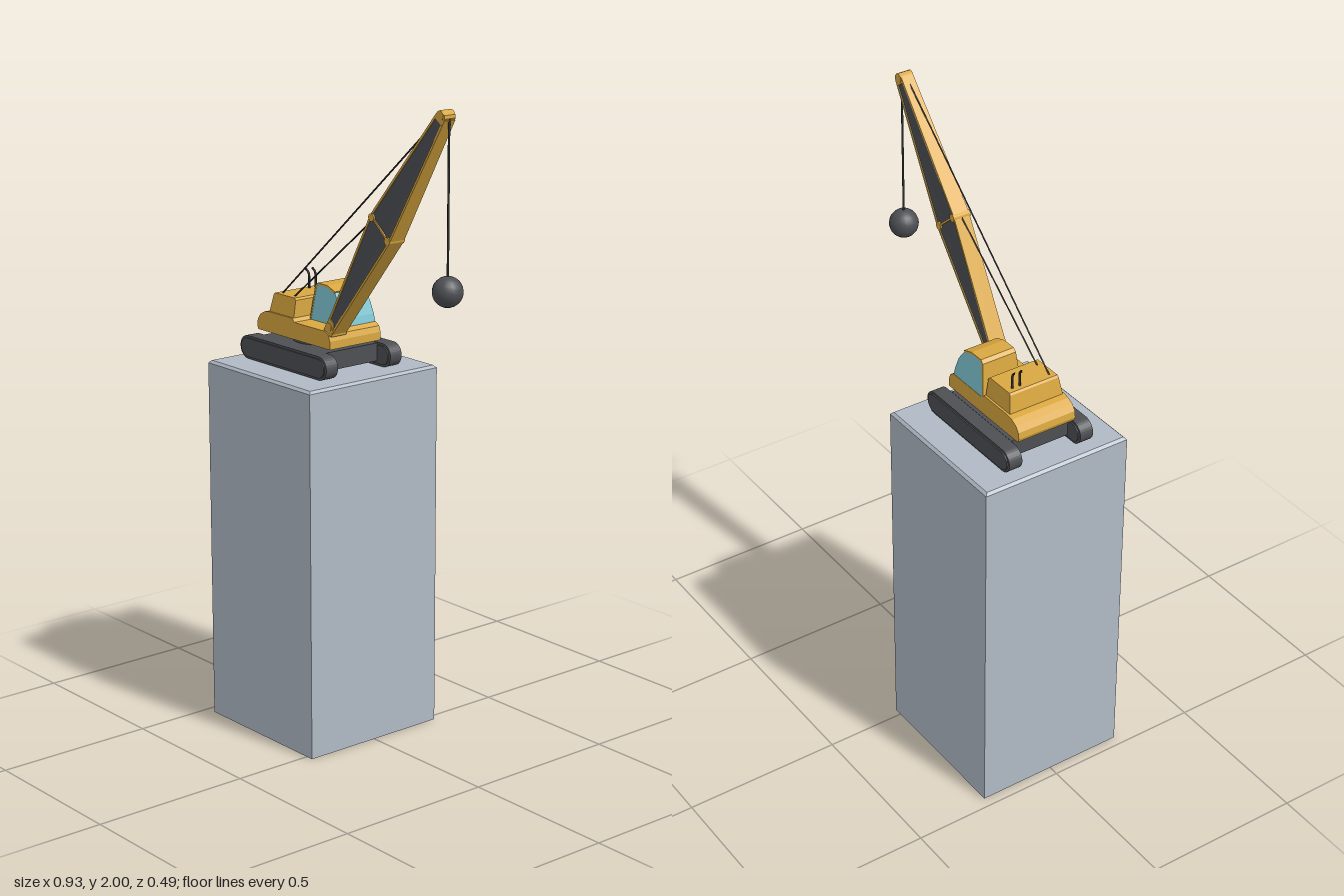
import * as THREE from 'three';

const paint = (name, color, extra = {}) => {
  const m = new THREE.MeshStandardMaterial({ color, ...extra });
  m.name = name;
  return m;
};

export function createModel() {
  const root = new THREE.Group();
  root.name = 'wreckingCraneOnPedestal';
  const yellow = paint('yellow', 0xd9a740);
  const dark = paint('darkGrey', 0x4d4f53);
  const glass = paint('glassBlue', 0x80c8d6);
  const stone = paint('paleGrey', 0xb0bac4, { flatShading: true, side: THREE.DoubleSide });
  const black = paint('cableBlack', 0x2b2b2d);

  const add = (name, geo, mat, x = 0, y = 0, z = 0, parent = root) => {
    const m = new THREE.Mesh(geo, mat);
    m.name = name;
    m.position.set(x, y, z);
    parent.add(m);
    return m;
  };

  // Side profile extruded across z; zRange(y) gives the near and far z at that height
  const slab = (name, pts, zRange, mat, parent = root) => {
    const shape = new THREE.Shape(pts.map(([x, y]) => new THREE.Vector2(x, y)));
    const geo = new THREE.ExtrudeGeometry(shape, { depth: 1, bevelEnabled: false });
    const p = geo.attributes.position;
    for (let i = 0; i < p.count; i++) {
      const [a, b] = zRange(p.getY(i));
      p.setZ(i, a + (b - a) * p.getZ(i));
    }
    geo.computeVertexNormals();
    return add(name, geo, mat, 0, 0, 0, parent);
  };
  const flat = (a, b) => () => [a, b];
  const taper = (y0, y1, from, to) => y => {
    const t = THREE.MathUtils.clamp((y - y0) / (y1 - y0), 0, 1);
    return [0, 1].map(i => THREE.MathUtils.lerp(from[i], to[i], t));
  };

  // Hollow pedestal, open underneath, with a chamfered top rim
  const px = -0.221, half = 0.246, rim = 0.238, q = Math.SQRT2;
  const wall = new THREE.CylinderGeometry(half * q, half * q, 1.14, 4, 1, true).rotateY(Math.PI / 4);
  const chamfer = new THREE.CylinderGeometry(rim * q, half * q, 0.008, 4, 1, true).rotateY(Math.PI / 4);
  add('pedestalWalls', wall, stone, px, 0.57, 0);
  add('pedestalRim', chamfer, stone, px, 1.144, 0);
  add('pedestalTop', new THREE.PlaneGeometry(rim * 2, rim * 2).rotateX(-Math.PI / 2), stone, px, 1.148, 0);

  // Crawler tracks: rounded belt with a slightly prouder core
  const stadium = (x0, x1, y, r) => {
    const pts = [];
    for (let i = 0; i <= 16; i++) {
      const a = -Math.PI / 2 + (i % 17) * Math.PI / 8 * 0.5;
      pts.push([x1 - r + Math.cos(a) * r, y + Math.sin(a) * r]);
    }
    const right = pts.filter((_, i) => i <= 16);
    return [...right, ...right.map(([x, yy]) => [x0 + x1 - x, 2 * y - yy])];
  };
  for (const side of [-1, 1]) {
    const track = new THREE.Group();
    track.name = side > 0 ? 'frontTrack' : 'backTrack';
    root.add(track);
    const c = side * 0.1235;
    slab('trackBelt', stadium(-0.436, -0.021, 1.186, 0.036), flat(c - 0.022, c + 0.022), dark, track);
    slab('trackCore', stadium(-0.428, -0.029, 1.186, 0.029), flat(c - 0.026, c + 0.026), dark, track);
  }
  add('undercarriage', new THREE.BoxGeometry(0.3, 0.056, 0.2), dark, -0.229, 1.193, 0);
  add('turntable', new THREE.CylinderGeometry(0.083, 0.083, 0.018, 24), dark, -0.229, 1.227, 0);

  // Upper body with rounded tail
  slab('body', [
    [-0.408, 1.233], [-0.413, 1.245], [-0.41, 1.265], [-0.398, 1.282], [-0.378, 1.293], [-0.355, 1.297],
    [-0.24, 1.297], [-0.232, 1.286], [-0.085, 1.286], [-0.07, 1.276], [-0.063, 1.258], [-0.063, 1.233],
  ], flat(-0.098, 0.098), yellow);

  // Engine housing and twin exhausts
  slab('engineHousing', [
    [-0.359, 1.29], [-0.347, 1.35], [-0.342, 1.356], [-0.246, 1.356], [-0.24, 1.35], [-0.24, 1.29],
  ], taper(1.29, 1.356, [-0.092, 0.094], [-0.082, 0.084]), yellow);
  for (const z of [-0.06, -0.035]) {
    const path = new THREE.CatmullRomCurve3([[-0.325, 1.35], [-0.325, 1.395], [-0.329, 1.405], [-0.341, 1.413]]
      .map(([x, y]) => new THREE.Vector3(x, y, z)));
    add('exhaustPipe', new THREE.TubeGeometry(path, 12, 0.0035, 8), black);
  }

  // Cab: glazed volume with yellow back wall and roof laid over it
  const cabZ = taper(1.285, 1.395, [-0.097, 0.034], [-0.088, 0.023]);
  slab('cabGlass', [
    [-0.233, 1.285], [-0.218, 1.388], [-0.21, 1.396], [-0.165, 1.396], [-0.13, 1.383],
    [-0.105, 1.35], [-0.091, 1.31], [-0.086, 1.285],
  ], cabZ, glass);
  slab('cabRoofAndBack', [
    [-0.236, 1.285], [-0.222, 1.39], [-0.212, 1.4], [-0.165, 1.4], [-0.128, 1.387],
    [-0.132, 1.381], [-0.165, 1.394], [-0.209, 1.394], [-0.216, 1.387], [-0.231, 1.285],
  ], y => { const [a, b] = cabZ(y); return [a - 0.001, b + 0.001]; }, yellow);

  // Boom: dark side panels, yellow chords along the upper and lower edges
  const boom = new THREE.Group();
  boom.name = 'boom';
  root.add(boom);
  const bz = 0.066;
  const boomZ = inset => taper(1.6, 1.98, [bz - 0.0275 + inset, bz + 0.0275 - inset], [bz - 0.02 + inset, bz + 0.02 - inset]);
  const upper = [[-0.09, 1.287], [0.117, 1.664], [0.392, 1.988]];
  const lower = [[-0.062, 1.28], [0.196, 1.594], [0.42, 1.972]];
  slab('boomPanels', [...upper, ...lower.slice().reverse()], boomZ(0.002), dark, boom);
  const strip = (name, [x0, y0], [x1, y1], w) => {
    const l = Math.hypot(x1 - x0, y1 - y0), nx = -(y1 - y0) / l * w, ny = (x1 - x0) / l * w;
    slab(name, [[x0 + nx, y0 + ny], [x1 + nx, y1 + ny], [x1 - nx, y1 - ny], [x0 - nx, y0 - ny]], boomZ(0), yellow, boom);
  };
  for (let i = 0; i < 2; i++) {
    strip('upperChord', upper[i], upper[i + 1], 0.0035);
    strip('lowerChord', lower[i], lower[i + 1], 0.0035);
  }
  strip('middleBrace', upper[1], lower[1], 0.003);
  slab('boomFoot', [[-0.098, 1.272], [-0.095, 1.292], [-0.07, 1.33], [-0.05, 1.312], [-0.06, 1.272]], boomZ(-0.0005), yellow, boom);
  slab('boomHead', [[0.382, 1.977], [0.394, 1.994], [0.405, 1.999], [0.423, 1.986], [0.424, 1.976], [0.411, 1.957]],
    boomZ(-0.0005), yellow, boom);
  const pin = (name, x, y, r, w) =>
    add(name, new THREE.CylinderGeometry(r, r, w, 16).rotateX(Math.PI / 2), yellow, x, y, bz, boom);
  pin('footPin', -0.073, 1.301, 0.013, 0.06);
  pin('upperJointPin', 0.121, 1.658, 0.012, 0.058);
  pin('lowerJointPin', 0.191, 1.599, 0.012, 0.058);
  pin('headPin', 0.405, 1.984, 0.014, 0.044);

  // Stay cables and hoist line
  const cable = (name, a, b, r) => {
    const line = new THREE.LineCurve3(new THREE.Vector3(a[0], a[1], bz), new THREE.Vector3(b[0], b[1], bz));
    add(name, new THREE.TubeGeometry(line, 1, r, 6), black);
  };
  cable('longStay', [-0.338, 1.345], [0.395, 1.988], 0.0025);
  cable('shortStay', [-0.275, 1.35], [0.121, 1.664], 0.0025);
  cable('hoistLine', [0.42, 1.978], [0.42, 1.52], 0.0035);

  // Wrecking ball
  add('wreckingBall', new THREE.SphereGeometry(0.045, 18, 12), dark, 0.42, 1.489, bz);
  return root;
}
